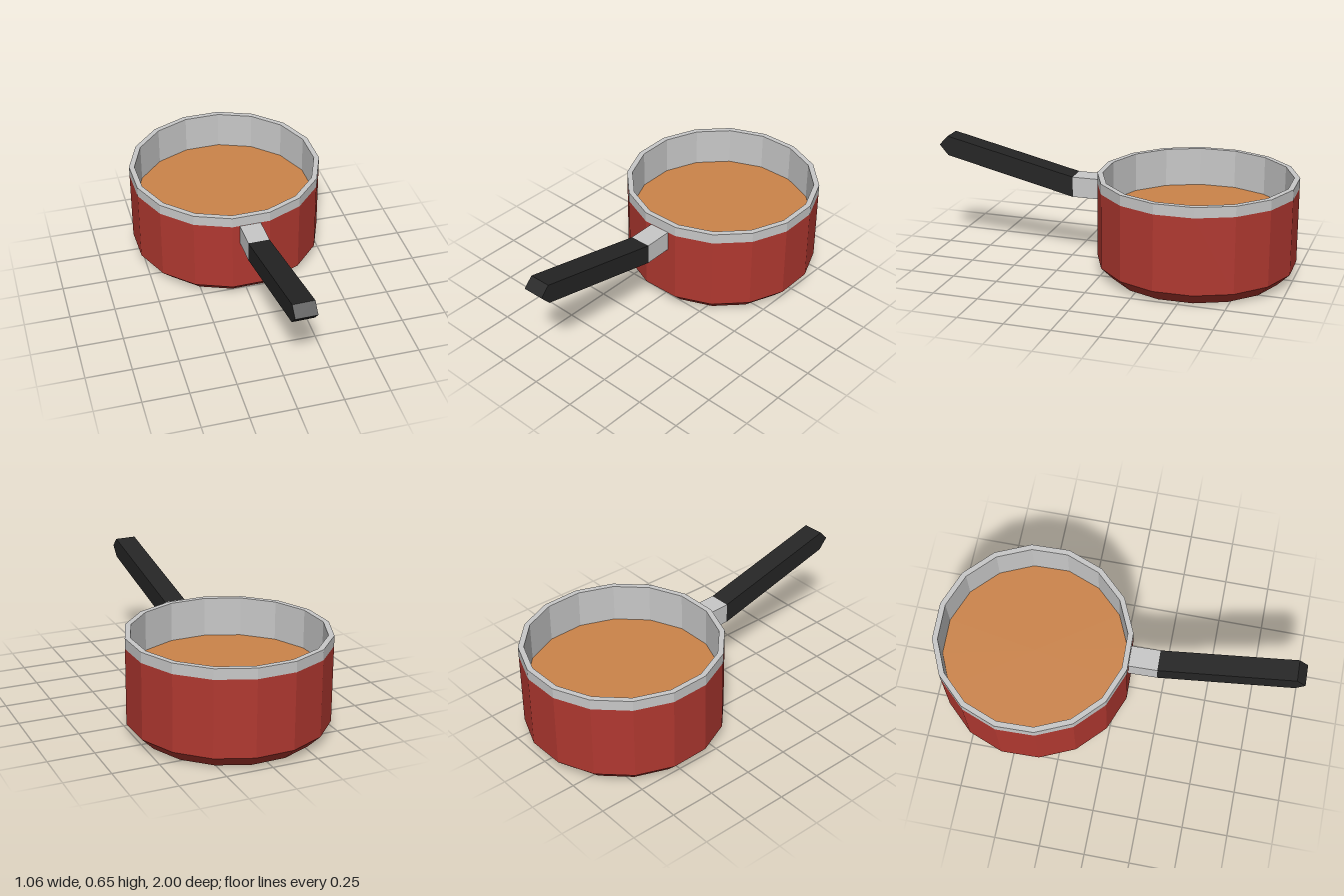
import * as THREE from 'three';

const SIDES = 16;
const START = Math.PI / SIDES; // a flat side faces the handle

export function createModel() {
  const material = (name, color) => {
    const m = new THREE.MeshStandardMaterial({ color, flatShading: true });
    m.name = name;
    return m;
  };
  const red = material('redEnamel', 0xb03830);
  const steel = material('steel', 0xc8c8c8);
  const black = material('blackGrip', 0x252525);
  const broth = material('orangeSoup', 0xcc844a);

  const pan = new THREE.Group();
  pan.name = 'saucepan';
  const add = (name, geometry, mat) => {
    const mesh = new THREE.Mesh(geometry, mat);
    mesh.name = name;
    pan.add(mesh);
    return mesh;
  };
  // Faceted ring from [radius, height] pairs
  const ring = (points) => new THREE.LatheGeometry(
    points.map(([r, y]) => new THREE.Vector2(r, y)), SIDES, START);

  // Body with chamfered base, steel rim and inner wall, soup surface
  add('body', ring([[0, 0], [0.472, 0], [0.54, 0.068], [0.54, 0.483]]), red);
  add('rimAndInnerWall', ring([[0.54, 0.483], [0.54, 0.54], [0.51, 0.54], [0.51, 0.32]]), steel);
  const soup = new THREE.CircleGeometry(0.51, SIDES, START);
  soup.rotateX(-Math.PI / 2);
  add('soup', soup, broth).position.y = 0.325;

  // Handle: steel collar, then a rising grip with a bevelled tip
  const width = 0.117, offset = -0.005;
  add('handleCollar', new THREE.BoxGeometry(width, 0.113, 0.17), steel)
    .position.set(offset, 0.4255, 0.602);
  const profile = new THREE.Shape(
    [[0.687, 0.369], [1.418, 0.545], [1.468, 0.603], [1.418, 0.655], [0.687, 0.482]]
      .map(([z, y]) => new THREE.Vector2(z, y)));
  const grip = new THREE.ExtrudeGeometry(profile, { depth: width, bevelEnabled: false });
  grip.translate(0, 0, -width / 2).rotateY(-Math.PI / 2);
  add('handleGrip', grip, black).position.x = offset;

  // The whole pan is turned very slightly
  pan.rotation.y = 0.0245;
  pan.position.z = -0.468;

  const model = new THREE.Group();
  model.name = 'model';
  model.add(pan);
  return model;
}
